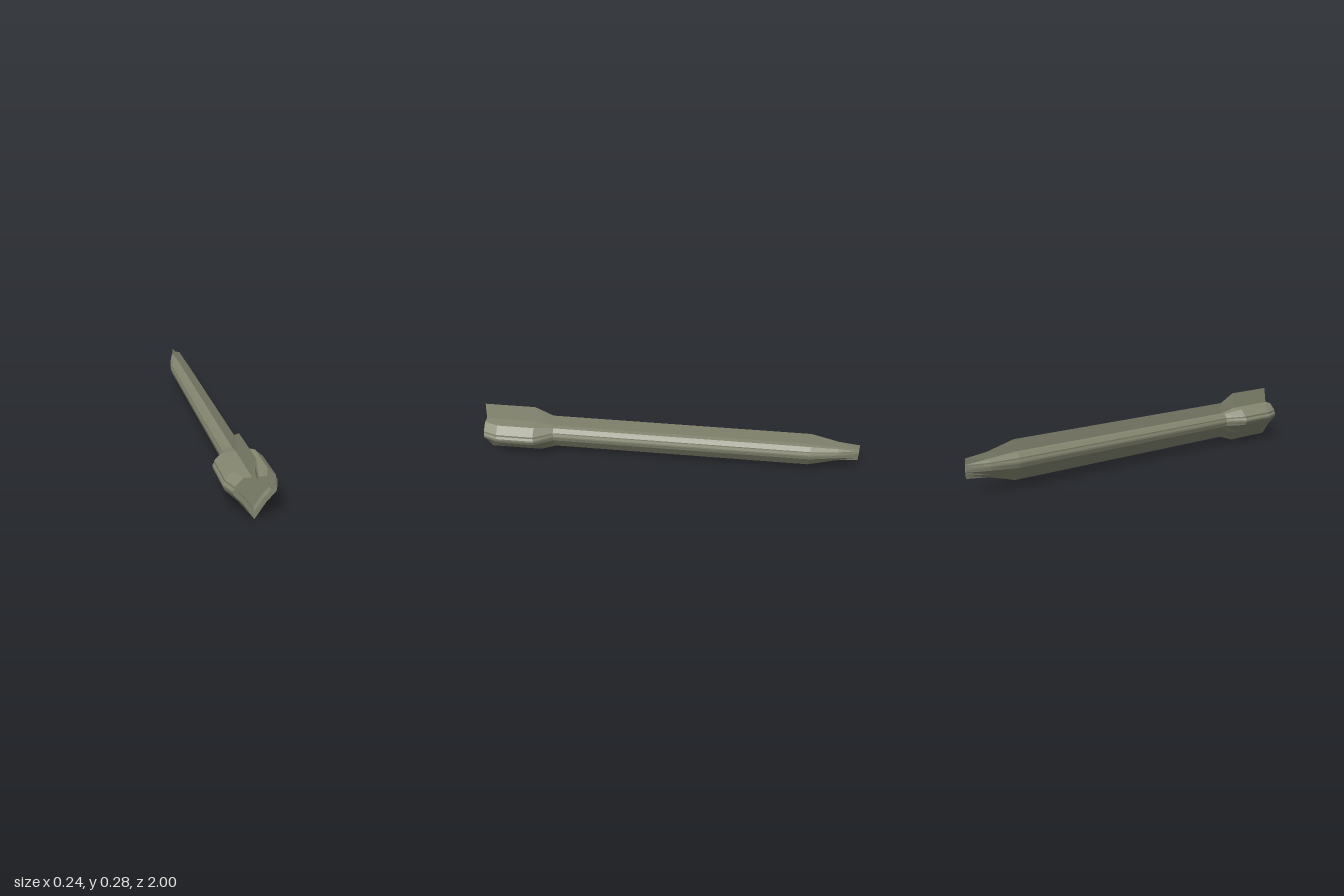
import * as THREE from 'three';

// Half outlines (x >= 0) of the hull from keel to fin tip
const HEAD = [[0, 0.003], [0.054, 0.056], [0.113, 0.114], [0.121, 0.133], [0.121, 0.143],
  [0.113, 0.154], [0.113, 0.164], [0.075, 0.2], [0.014, 0.2], [0, 0.285]];
const MOUTH = [[0, 0.003], [0.05, 0.078], [0.09, 0.122], [0.096, 0.134], [0.096, 0.143],
  [0.088, 0.154], [0.088, 0.164], [0.05, 0.2], [0.014, 0.2], [0, 0.285]];
const RECESS = [[0, 0.042], [0.038, 0.098], [0.064, 0.126], [0.071, 0.136], [0.071, 0.145],
  [0.063, 0.151], [0.063, 0.161], [0.038, 0.185], [0.011, 0.185], [0, 0.247]];
const SHAFT = [[0, 0.035], [0.026, 0.073], [0.05, 0.108], [0.056, 0.13], [0.056, 0.138],
  [0.051, 0.151], [0.051, 0.157], [0.034, 0.178], [0.007, 0.178], [0, 0.238]];
const TAPER = [[0, 0.077], [0.016, 0.095], [0.031, 0.115], [0.034, 0.132], [0.034, 0.138],
  [0.031, 0.149], [0.031, 0.154], [0.02, 0.167], [0.005, 0.167], [0, 0.2]];
const TIP = [[0, 0.089], [0.002, 0.105], [0.004, 0.12], [0.005, 0.131], [0.005, 0.137],
  [0.004, 0.147], [0.004, 0.151], [0.003, 0.157], [0.002, 0.157], [0, 0.187]];

// Mirror a half outline into a closed ring, anticlockwise from the front
const ring = (half) => [...half, ...half.slice(1, -1).reverse().map(([x, y]) => [-x, y])];

// Skin a series of [outline, z] sections running towards +z
function loft(sections) {
  const pos = [], idx = [];
  const n = ring(sections[0][0]).length;
  sections.forEach(([half, z]) => ring(half).forEach(([x, y]) => pos.push(x, y, z)));
  for (let i = 0; i < sections.length - 1; i++) {
    for (let j = 0; j < n; j++) {
      const k = (j + 1) % n;
      const a = i * n + j, b = i * n + k, c = b + n, d = a + n;
      idx.push(a, b, c, a, c, d);
    }
  }
  const g = new THREE.BufferGeometry();
  g.setAttribute('position', new THREE.Float32BufferAttribute(pos, 3));
  g.setIndex(idx);
  const flat = g.toNonIndexed();
  flat.computeVertexNormals();
  return flat;
}

// Flat end plate filling an outline, facing +z
const plate = (half, z) => new THREE.ShapeGeometry(
  new THREE.Shape(ring(half).map(([x, y]) => new THREE.Vector2(x, y)))).translate(0, 0, z);

export function createModel() {
  const group = new THREE.Group();
  const metal = new THREE.MeshStandardMaterial({ color: 0x868872 });
  metal.name = 'olive grey metal';
  const add = (name, geometry) => {
    const mesh = new THREE.Mesh(geometry, metal);
    mesh.name = name;
    group.add(mesh);
    return mesh;
  };

  // Pointed tail, long shaft and swollen head
  add('tail', loft([[TIP, -1], [TAPER, -0.89], [SHAFT, -0.745]]));
  add('shaft', loft([[SHAFT, -0.745], [SHAFT, 0.63]]));
  add('head', loft([[SHAFT, 0.63], [HEAD, 0.725], [HEAD, 0.925], [MOUTH, 1]]));

  // Front rim with a shallow recess
  add('frontRim', loft([[MOUTH, 1], [RECESS, 1], [RECESS, 0.97]]));
  add('recessFloor', plate(RECESS, 0.97));

  // Narrow end cap at the back
  add('tailCap', plate(TIP, 1)).rotation.y = Math.PI;
  return group;
}
